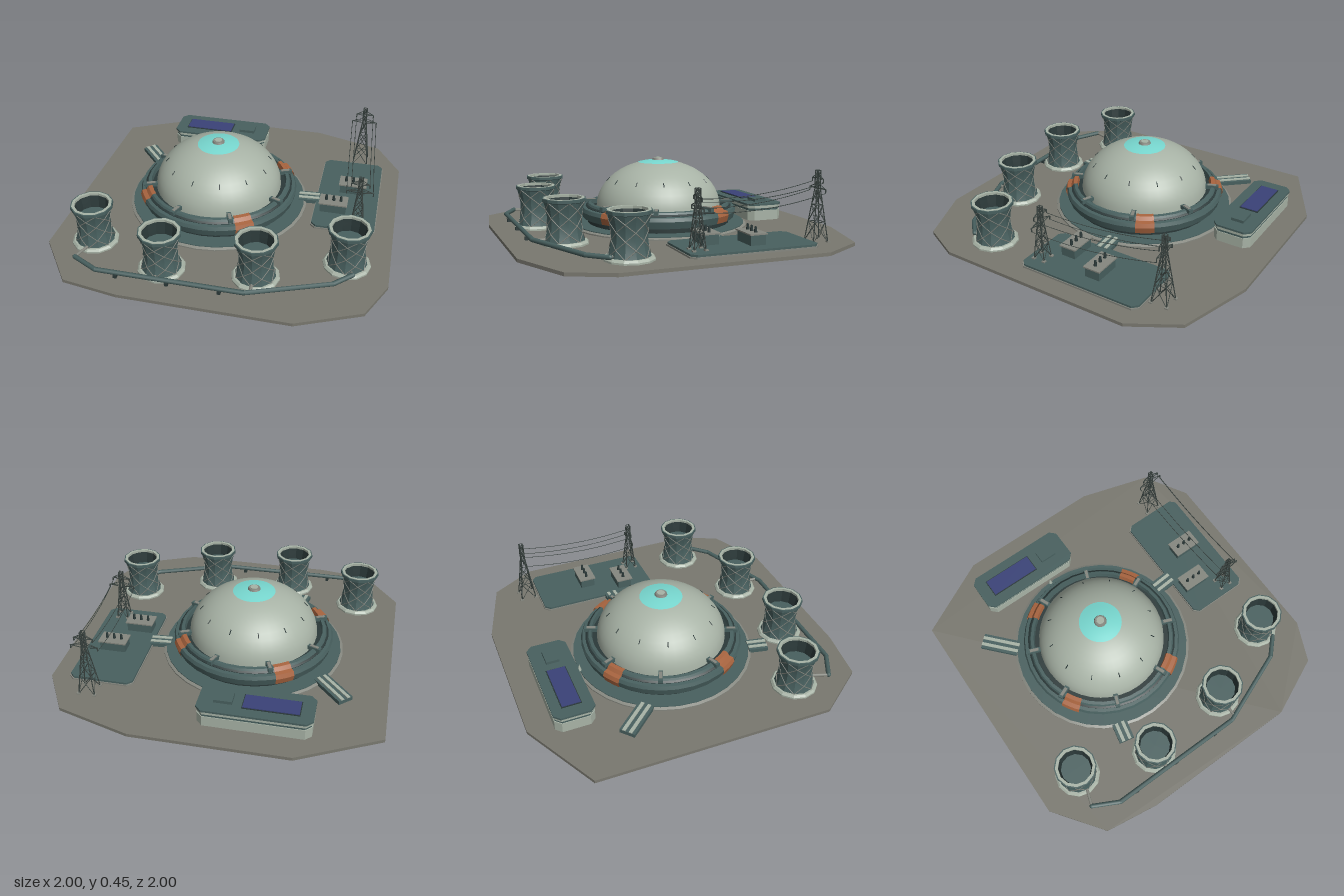
import * as THREE from 'three';
import { mergeGeometries, toCreasedNormals } from 'three/addons/utils/BufferGeometryUtils.js';

const mat = (name, color, side = THREE.FrontSide) => {
  const m = new THREE.MeshStandardMaterial({ color, side });
  m.name = name;
  return m;
};
const V = (x, y, z) => new THREE.Vector3(x, y, z);

export function createModel() {
  const root = new THREE.Group();
  root.name = 'powerStation';
  const M = {
    ground: mat('groundGrey', 0x79786f),
    teal: mat('teal', 0x48605f),
    dark: mat('darkTeal', 0x2b3939),
    pale: mat('paleConcrete', 0xa8b3a6),
    grey: mat('metalGrey', 0x85877f),
    cyan: mat('cyanGlow', 0x78d8d0),
    orange: mat('orange', 0xa8643f, THREE.DoubleSide),
    blue: mat('solarBlue', 0x3a4278),
    steel: mat('pylonSteel', 0x3c4643),
  };

  // ---- helpers ----
  const add = (name, geo, m, parent = root) => {
    const mesh = new THREE.Mesh(geo, m);
    mesh.name = name;
    parent.add(mesh);
    return mesh;
  };
  const group = (name, x = 0, y = 0, z = 0, parent = root) => {
    const g = new THREE.Group();
    g.name = name;
    g.position.set(x, y, z);
    parent.add(g);
    return g;
  };
  const box = (name, x0, x1, y0, y1, z0, z1, m, parent = root) => {
    const b = add(name, new THREE.BoxGeometry(x1 - x0, y1 - y0, z1 - z0), m, parent);
    b.position.set((x0 + x1) / 2, (y0 + y1) / 2, (z0 + z1) / 2);
    return b;
  };
  const lathe = (pts, seg, crease = 0.4, start = 0, len = Math.PI * 2) => toCreasedNormals(
    new THREE.LatheGeometry(pts.map(p => new THREE.Vector2(...p)), seg, start, len), crease);
  const slab = (pts, y0, y1) => {
    const s = new THREE.Shape(pts.map(([x, z]) => new THREE.Vector2(x, -z)));
    return new THREE.ExtrudeGeometry(s, { depth: y1 - y0, bevelEnabled: false })
      .rotateX(-Math.PI / 2).translate(0, y0, 0);
  };
  const chamfered = (x0, x1, z0, z1, c) => [
    [x0 + c, z0], [x1 - c, z0], [x1, z0 + c], [x1, z1 - c],
    [x1 - c, z1], [x0 + c, z1], [x0, z1 - c], [x0, z0 + c]];
  const beam = (a, b, r, sides = 4) => {
    const d = b.clone().sub(a);
    const q = new THREE.Quaternion().setFromUnitVectors(V(0, 1, 0), d.clone().normalize());
    const mid = a.clone().add(b).multiplyScalar(0.5);
    return new THREE.CylinderGeometry(r, r, d.length(), sides).applyQuaternion(q).translate(mid.x, mid.y, mid.z);
  };

  // ---- ground plate ----
  add('groundPlate', slab([[-0.51, -1], [0.4, -1], [0.84, -0.87], [1, -0.6], [1, 0.6], [0.89, 0.84],
    [0.53, 1], [-0.45, 1], [-0.78, 0.95], [-1, 0.65], [-0.98, -0.76]], 0, 0.02), M.ground);

  // ---- reactor dome with its ring ----
  const reactor = group('reactor', -0.124, 0, -0.037);
  add('foundationEdge', lathe([[0.566, 0.02], [0.566, 0.028], [0.548, 0.036], [0.53, 0.036]], 32), M.grey, reactor);
  add('foundation', lathe([[0.55, 0.02], [0.55, 0.04], [0.45, 0.04]], 32), M.teal, reactor);
  add('ringWall', lathe([[0.455, 0.04], [0.455, 0.09]], 32), M.dark, reactor);
  add('ring', lathe([[0.44, 0.068], [0.485, 0.072], [0.497, 0.115], [0.488, 0.137], [0.462, 0.14],
    [0.449, 0.162], [0.43, 0.165], [0.424, 0.13]], 32, 0.3), M.teal, reactor);
  add('ringSeam', lathe([[0.468, 0.1405], [0.468, 0.143], [0.457, 0.151]], 32, 0.3), M.dark, reactor);
  add('ringGap', lathe([[0.43, 0.135], [0.37, 0.135]], 32), M.dark, reactor);
  const domeY = r => 0.135 + 0.295 * Math.sqrt(Math.max(0, 1 - (r / 0.397) ** 2));
  const arc = (a0, a1, n, lift) => Array.from({ length: n + 1 }, (_, i) => {
    const a = a0 + (a1 - a0) * i / n;
    return [(0.397 + lift) * Math.cos(a), 0.135 + (0.295 + lift) * Math.sin(a)];
  });
  add('dome', lathe(arc(0, Math.PI / 2, 12, 0), 40, 0.6), M.pale, reactor);
  add('domeCap', lathe(arc(1.242, Math.PI / 2, 4, 0.003), 40, 0.6), M.cyan, reactor);
  add('capHatch', new THREE.CylinderGeometry(0.034, 0.042, 0.018, 12), M.grey, reactor).position.y = 0.434;
  add('hatchLid', new THREE.CylinderGeometry(0.024, 0.024, 0.006, 12), M.pale, reactor).position.y = 0.443;
  for (let i = 0; i < 12; i++) {
    // small seam marks on the shell
    const a = (15 + i * 30) * Math.PI / 180, p = r => V(r * Math.cos(a), domeY(r), r * Math.sin(a));
    add('shellMark', beam(p(0.31), p(0.332), 0.003), M.dark, reactor);
  }
  for (let i = 0; i < 8; i++) {
    const arm = group('ringClamp', 0, 0, 0, reactor);
    arm.rotation.y = (22.5 + i * 45) * Math.PI / 180;
    box('clampTop', 0.39, 0.475, 0.15, 0.174, -0.014, 0.014, M.teal, arm);
    box('clampCap', 0.405, 0.46, 0.174, 0.178, -0.009, 0.009, M.grey, arm);
  }
  for (let i = 0; i < 4; i++) {
    const phi = (32 + i * 90) * Math.PI / 180;
    add('orangePanel', lathe([[0.491, 0.075], [0.503, 0.115], [0.493, 0.142], [0.467, 0.146],
      [0.452, 0.168], [0.427, 0.17], [0.42, 0.14]], 4, 0.3, phi - 0.115, 0.23), M.orange, reactor);
  }
  add('beacon', new THREE.ConeGeometry(0.014, 0.05, 8), M.pale, reactor).position.set(-0.035, 0.06, -0.545);

  // ---- access ramps ----
  for (const [x, z, deg, len] of [[-0.665, -0.405, 48, 0.24], [-0.355, 0.52, 102, 0.12], [0.45, -0.14, -4, 0.13]]) {
    const ramp = group('accessRamp', x, 0, z);
    ramp.rotation.y = -deg * Math.PI / 180;
    box('rampDeck', -len / 2, len / 2, 0.02, 0.044, -0.048, 0.048, M.teal, ramp);
    for (const s of [-1, 1]) box('rampStripe', -len / 2, len / 2, 0.044, 0.05, s * 0.021 - 0.01, s * 0.021 + 0.01, M.pale, ramp);
  }

  // ---- cooling towers ----
  const towerR = y => 0.098 + 0.0247 * (y < 0.15 ? ((0.15 - y) / 0.115) ** 2 * 0.85 : ((y - 0.15) / 0.128) ** 2);
  const rows = [0.04, 0.085, 0.13, 0.175, 0.22, 0.265];
  const wall = rows.map(y => [towerR(y), y]);
  const inner = [0.24, 0.18, 0.12].map(y => [towerR(y) - 0.012, y]);
  const lattice = [];
  for (let k = 0; k < 12; k += 2) for (const s of [-1, 1]) {
    const at = i => {
      const a = (k + s * i) * Math.PI / 6, r = towerR(rows[i]) + 0.001;
      return V(r * Math.sin(a), rows[i], r * Math.cos(a));
    };
    for (let i = 0; i < 5; i++) lattice.push(beam(at(i), at(i + 1), 0.0026));
  }
  const latticeGeo = mergeGeometries(lattice);
  for (const [x, z] of [[-0.733, 0.567], [-0.27, 0.727], [0.267, 0.68], [0.754, 0.46]]) {
    const t = group('coolingTower', x, 0, z);
    add('towerBase', lathe([[0.139, 0.02], [0.139, 0.03], [0.128, 0.042], [0.09, 0.042]], 12, 0.3), M.pale, t);
    add('towerShell', lathe(wall, 12, 0.3), M.teal, t);
    add('towerRim', lathe([[0.117, 0.262], [0.125, 0.266], [0.125, 0.283], [0.115, 0.283]], 12, 0.3), M.teal, t);
    add('rimLip', lathe([[0.118, 0.2835], [0.118, 0.285], [0.101, 0.285], [0.101, 0.27]], 12, 0.3), M.pale, t);
    add('towerInside', lathe([[0.103, 0.275], ...inner], 12, 0.3), M.dark, t);
    add('towerFloor', new THREE.CylinderGeometry(0.098, 0.09, 0.01, 12), M.teal, t).position.y = 0.19;
    add('lattice', latticeGeo, M.grey, t);
  }

  // ---- water main and its branches ----
  const main = [[-0.775, 0.78], [-0.62, 0.86], [0.24, 0.86], [0.7, 0.68], [0.8, 0.58]].map(([x, z]) => V(x, 0.05, z));
  const pipes = [];
  main.forEach((p, i) => {
    if (i) pipes.push(beam(main[i - 1], p, 0.014, 8));
    pipes.push(new THREE.SphereGeometry(0.014, 8, 6).translate(p.x, p.y, p.z));
  });
  add('waterMain', mergeGeometries(pipes), M.teal);
  for (const [x0, z0, x1, z1] of [[-0.775, 0.78, -0.74, 0.68], [-0.27, 0.86, -0.27, 0.8], [0.27, 0.85, 0.267, 0.78], [0.8, 0.58, 0.78, 0.54]])
    add('branchPipe', beam(V(x0, 0.05, z0), V(x1, 0.05, z1), 0.009, 8), M.grey);
  for (const x of [-0.5, -0.2, 0.1]) box('pipeFoot', x - 0.01, x + 0.01, 0.02, 0.04, 0.845, 0.875, M.dark);

  // ---- control building ----
  const hall = group('controlBuilding');
  const layer = (name, g, y0, y1, m) => add(name, slab(chamfered(-0.595 + g, 0.055 - g, -0.855 + g, -0.61 - g, 0.035), y0, y1), m, hall);
  layer('lowerWall', 0.004, 0.02, 0.085, M.pale);
  layer('windowBand', 0.008, 0.085, 0.1, M.teal);
  layer('upperWall', 0.004, 0.1, 0.118, M.pale);
  layer('roof', 0, 0.118, 0.13, M.teal);
  box('solarFrame', -0.52, -0.195, 0.13, 0.134, -0.795, -0.675, M.dark, hall);
  box('solarPanel', -0.515, -0.2, 0.134, 0.138, -0.79, -0.68, M.blue, hall);
  box('roofUnit', -0.14, -0.035, 0.13, 0.148, -0.775, -0.695, M.teal, hall);

  // ---- substation ----
  const sub = group('substation');
  add('substationSkirt', slab(chamfered(0.495, 0.89, -0.612, 0.165, 0.03), 0.02, 0.03), M.grey, sub);
  add('substationPad', slab(chamfered(0.5, 0.885, -0.607, 0.16, 0.03), 0.03, 0.042), M.teal, sub);
  for (const [x, z] of [[0.615, -0.035], [0.715, -0.27]]) {
    const t = group('transformer', x, 0, z, sub);
    box('transformerBody', -0.08, 0.08, 0.042, 0.1, -0.046, 0.046, M.teal, t);
    box('transformerLid', -0.088, 0.088, 0.1, 0.108, -0.054, 0.054, M.grey, t);
    for (const s of [-1, 0, 1])
      add('bushing', new THREE.CylinderGeometry(0.007, 0.01, 0.034, 8), M.dark, t).position.set(s * 0.046, 0.124, 0);
  }

  // ---- pylons ----
  const pylon = (x, z, y0, top, half) => {
    const g = group('pylon', x, 0, z), parts = [];
    const corner = (k, t) => {
      const h = half + (0.011 - half) * Math.min(1, t / 0.75), a = (k + 0.5) * Math.PI / 2;
      return V(Math.SQRT2 * h * Math.cos(a), y0 + (top - y0) * t, Math.SQRT2 * h * Math.sin(a));
    };
    const levels = [0, 0.28, 0.52, 0.75, 0.88, 1];
    for (let k = 0; k < 4; k++) for (let i = 0; i < 5; i++) {
      const [a, b] = [levels[i], levels[i + 1]];
      parts.push(beam(corner(k, a), corner(k, b), 0.0036));
      parts.push(beam(corner(k, a), corner(k + 1, b), 0.0022), beam(corner(k + 1, a), corner(k, b), 0.0022));
      parts.push(beam(corner(k, b), corner(k + 1, b), 0.0022));
    }
    // cross arms, each with an insulator at its tip
    for (const [drop, w] of [[0.045, 0.055], [0.1, 0.08]]) for (const s of [-1, 1]) {
      const y = top - drop, tip = V(s * w, y, 0);
      for (const e of [-1, 1]) parts.push(beam(V(s * 0.01, y, e * 0.012), tip, 0.0028));
      parts.push(beam(V(s * 0.01, y + 0.025, 0), tip, 0.0024), beam(tip, V(s * w, y - 0.022, 0), 0.004, 6));
    }
    add('pylonFrame', mergeGeometries(parts), M.steel, g);
    for (let k = 0; k < 4; k++) {
      const c = corner(k, 0);
      box('pylonFoot', c.x - 0.01, c.x + 0.01, 0.02, y0 + 0.008, c.z - 0.01, c.z + 0.01, M.grey, g);
    }
  };
  pylon(0.775, 0.085, 0.042, 0.375, 0.035);
  pylon(0.73, -0.68, 0.02, 0.43, 0.048);

  // ---- sagging power lines ----
  for (const [ya, yb, w] of [[0.308, 0.363, 0.055], [0.253, 0.308, 0.08]]) for (const s of [-1, 1]) {
    const a = V(0.775 + s * w, ya, 0.085), b = V(0.73 + s * w, yb, -0.68);
    const mid = a.clone().lerp(b, 0.5).add(V(0, -0.06, 0));
    add('powerLine', new THREE.TubeGeometry(new THREE.QuadraticBezierCurve3(a, mid, b), 16, 0.002, 4), M.steel);
  }
  return root;
}
